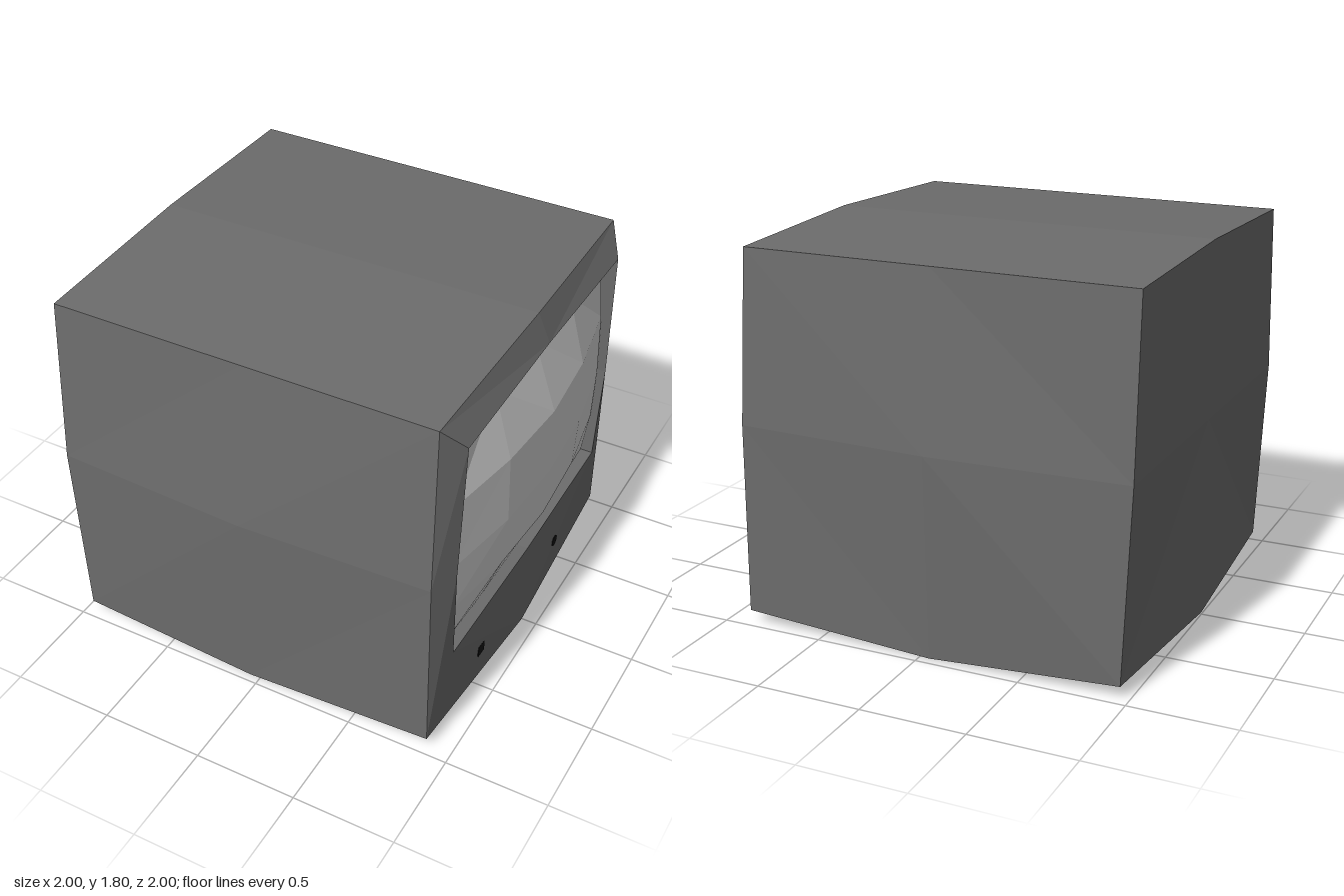
import * as THREE from 'three';

const grey = new THREE.MeshStandardMaterial({ color: 0x6c6c6c });
grey.name = 'casing grey';
const black = new THREE.MeshStandardMaterial({ color: 0x101010 });
black.name = 'black';
const pale = new THREE.MeshStandardMaterial({ color: 0xd0d0d0 });
pale.name = 'screen pale grey';

// Flat-faceted mesh from a list of triangle corners (no shared vertices)
function facetMesh(name, corners, material) {
  const geometry = new THREE.BufferGeometry();
  geometry.setAttribute('position', new THREE.Float32BufferAttribute(corners.flat(), 3));
  geometry.computeVertexNormals();
  const mesh = new THREE.Mesh(geometry, material);
  mesh.name = name;
  return mesh;
}

// Skin neighbouring rows of points; diagonals mirror about the middle
function skin(rows, closed) {
  const out = [];
  for (let r = 0; r + 1 < rows.length; r++) {
    const n = rows[r].length;
    for (let i = 0; i < (closed ? n : n - 1); i++) {
      const j = (i + 1) % n;
      const a = rows[r][i], b = rows[r][j], c = rows[r + 1][j], d = rows[r + 1][i];
      if (i < n / 2) out.push(a, b, d, b, c, d);
      else out.push(a, b, c, a, c, d);
    }
  }
  return out;
}

// Fan closing a ring around a centre point
function fan(ring, centre, reverse) {
  return ring.flatMap((p, i) => {
    const q = ring[(i + 1) % ring.length];
    return reverse ? [centre, q, p] : [centre, p, q];
  });
}

// Half ring (top middle to bottom middle) mirrored across z
const mirrorRing = (half) =>
  [...half, ...half.slice(1, -1).reverse().map(([x, y, z]) => [x, y, -z])];

export function createModel() {
  const group = new THREE.Group();
  group.name = 'television';

  // Bulging casing cross-sections, back to front
  const back = mirrorRing([[-1, 1.805, 0], [-1, 1.78, 0.91], [-1, 0.97, 0.96], [-0.96, 0.06, 0.96], [-1, 0.01, 0]]);
  const middle = mirrorRing([[-0.05, 1.805, 0], [-0.05, 1.78, 0.91], [-0.05, 0.97, 1], [-0.05, 0.005, 0.965], [-0.05, 0, 0]]);
  const rim = mirrorRing([[0.885, 1.805, 0], [0.865, 1.78, 0.91], [0.88, 0.97, 0.965], [0.885, 0.06, 0.965], [0.925, 0, 0]]);
  const opening = mirrorRing([[0.945, 1.668, 0], [0.945, 1.65, 0.8], [0.935, 0.98, 0.83], [0.922, 0.485, 0.8], [0.924, 0.468, 0]]);
  const recess = opening.map(([, y, z]) => [0.86, y, z]);

  group.add(
    facetMesh('casing', [...skin([back, middle, rim], true), ...fan(back, [-1, 0.97, 0], true)], grey),
    facetMesh('screenSurround', skin([rim, opening, recess], true), grey),
    facetMesh('screenBacking', fan(recess, [0.86, 1, 0], false), black),
  );

  // Bulging faceted screen: height, then depth at the middle, halfway and edge
  const screenRows = [
    [1.655, 0.88, 0.875, 0.87],
    [1.315, 0.995, 0.965, 0.895],
    [0.98, 1, 0.975, 0.9],
    [0.72, 0.985, 0.96, 0.895],
    [0.485, 0.875, 0.875, 0.87],
  ].map(([y, ...depth], r) => [-2, -1, 0, 1, 2].map((s) => {
    const k = Math.abs(s);
    const edge = [0.775, 0.795, 0.808, 0.795, 0.775][r];
    const bow = r === 0 ? -0.02 : r === 4 ? 0.02 : 0;
    return [depth[k], y + bow * k * k / 4, Math.sign(s) * (k === 2 ? edge : k * 0.4)];
  }));
  group.add(facetMesh('screen', skin(screenRows, false), pale));

  // Small controls below the screen
  for (const [name, x, y, z, radius, sides] of [
    ['powerButton', 0.917, 0.222, 0.48, 0.042, 4],
    ['indicator', 0.922, 0.233, -0.36, 0.03, 8],
  ]) {
    const geometry = new THREE.CylinderGeometry(radius, radius, 0.009, sides);
    geometry.rotateY(Math.PI / sides);
    geometry.rotateZ(-Math.PI / 2);
    const control = new THREE.Mesh(geometry, black);
    control.name = name;
    control.position.set(x, y, z);
    control.rotation.y = -Math.sign(z) * 0.015;
    group.add(control);
  }

  return group;
}
